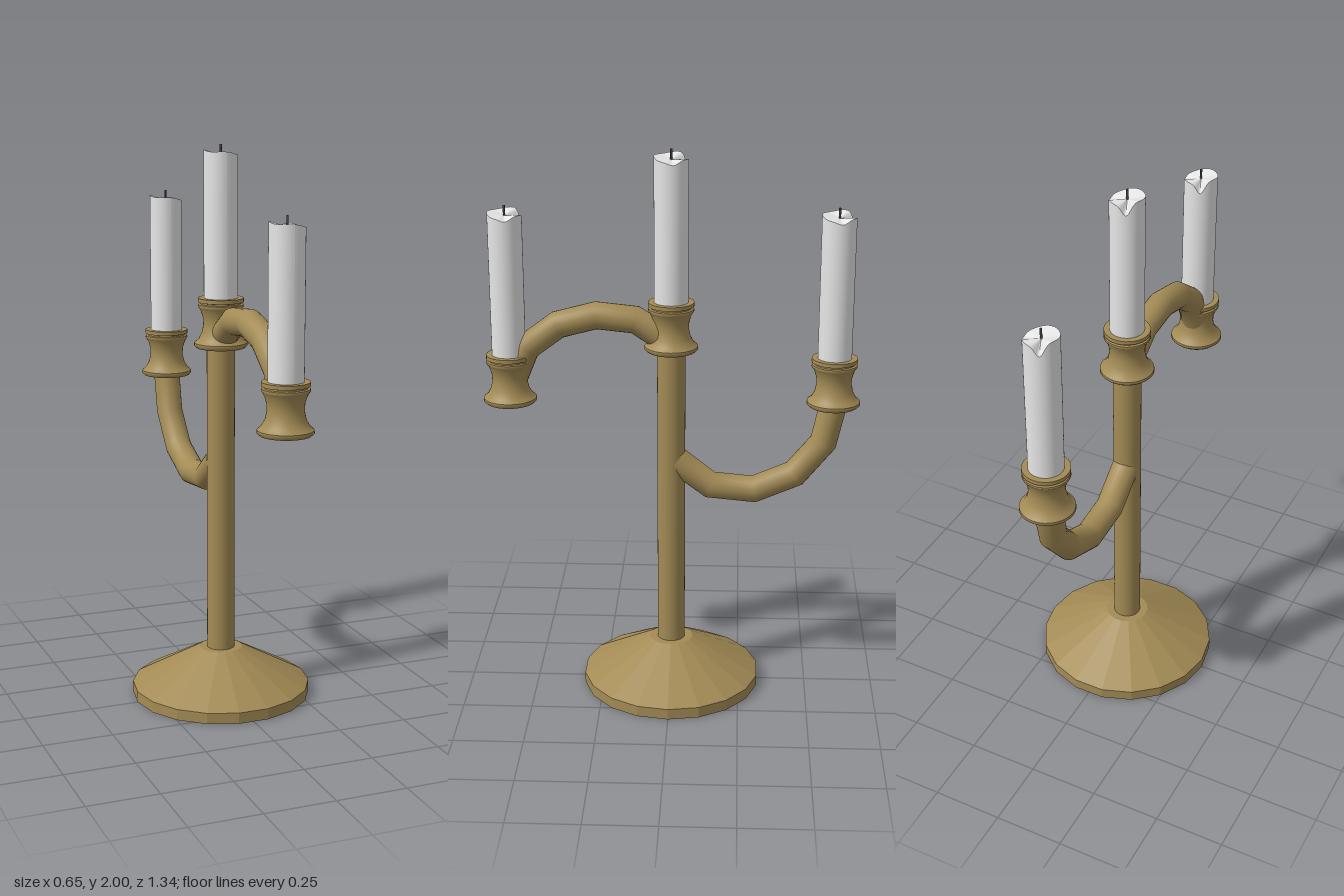
import * as THREE from 'three';

const brass = new THREE.MeshStandardMaterial({ color: 0xa38b55 });
brass.name = 'brass';
const wax = new THREE.MeshStandardMaterial({ color: 0xe6e6e6 });
wax.name = 'wax';
const char = new THREE.MeshStandardMaterial({ color: 0x4a4a4a });
char.name = 'charred wick';

function part(name, geometry, material, parent, y = 0) {
  const mesh = new THREE.Mesh(geometry, material);
  mesh.name = name;
  mesh.position.y = y;
  parent.add(mesh);
  return mesh;
}

// Lathe whose corners marked with a third value keep a hard edge
function lathe(profile, segments) {
  const points = [];
  for (const [r, y, hard] of profile) {
    points.push(new THREE.Vector2(r, y));
    if (hard) points.push(new THREE.Vector2(r, y));
  }
  return new THREE.LatheGeometry(points, segments);
}

// Faceted conical foot
function footGeometry() {
  const g = lathe([[0, 0], [0.325, 0], [0.325, 0.04], [0.079, 0.175], [0, 0.175]], 18).toNonIndexed();
  g.rotateY(Math.PI / 2);
  g.computeVertexNormals();
  return g;
}

// Flared candle cup with a double rim
const cupGeometry = lathe([
  [0, 0, 1], [0.086, 0, 1], [0.095, 0.008], [0.094, 0.018, 1], [0.08, 0.03], [0.068, 0.052],
  [0.062, 0.08], [0.063, 0.105], [0.07, 0.128], [0.076, 0.14, 1], [0.081, 0.146], [0.08, 0.154, 1],
  [0.072, 0.156, 1], [0.072, 0.161, 1], [0.081, 0.163, 1], [0.081, 0.177, 1], [0, 0.177],
], 32);

// Candle with a melted, sloping rim and a drip notch at the back
function candleGeometry() {
  const height = 0.575, g = new THREE.CylinderGeometry(0.06, 0.06, height, 48, 1);
  g.translate(0, height / 2, 0);
  const p = g.attributes.position;
  const dip = (a, at, width) => Math.exp(-(((a - at) / width) ** 2));
  for (let i = 0; i < p.count; i++) {
    if (p.getY(i) < height / 2) continue;
    const x = p.getX(i), z = p.getZ(i);
    if (Math.hypot(x, z) < 0.01) {
      p.setY(i, height - 0.006);
      continue;
    }
    const a = (Math.atan2(x, z) + Math.PI * 2) % (Math.PI * 2);
    const rim = 0.003 - 0.007 * Math.sin(a) + 0.003 * Math.cos(3 * a)
      - 0.04 * dip(a, 3.56, 0.32) - 0.014 * dip(a, 1.75, 0.4);
    p.setY(i, height + rim);
  }
  g.computeVertexNormals();
  return g;
}

// Bent round arm in the x = 0 plane, given as [z, y] points
function armGeometry(points) {
  const curve = new THREE.CatmullRomCurve3(points.map(([z, y]) => new THREE.Vector3(0, y, z)));
  return new THREE.TubeGeometry(curve, points.length - 1, 0.049, 24);
}

export function createModel() {
  const model = new THREE.Group();
  model.name = 'candelabra';

  part('foot', footGeometry(), brass, model);
  part('stem', new THREE.CylinderGeometry(0.05, 0.05, 1.17, 32), brass, model, 0.74);

  // Arms: arched one to the front, hanging one to the back
  part('frontArm', armGeometry([
    [0.01, 1.325], [0.11, 1.395], [0.285, 1.413], [0.435, 1.36], [0.53, 1.27], [0.565, 1.17],
  ]), brass, model);
  part('backArm', armGeometry([
    [-0.015, 0.88], [-0.125, 0.79], [-0.285, 0.767], [-0.435, 0.825], [-0.54, 0.945], [-0.578, 1.11],
  ]), brass, model);

  // Cup, candle and wick on the stem and on each arm
  const candle = candleGeometry();
  const wick = new THREE.CylinderGeometry(0.004, 0.004, 0.05, 8);
  for (const [name, y, z] of [['middle', 1.29, 0], ['front', 1.093, 0.575], ['back', 1.093, -0.575]]) {
    const holder = new THREE.Group();
    holder.name = name + 'CandleHolder';
    holder.position.set(0, y, z);
    part('cup', cupGeometry, brass, holder);
    part('candle', candle, wax, holder, 0.105);
    part('wick', wick, char, holder, 0.685);
    model.add(holder);
  }
  return model;
}
